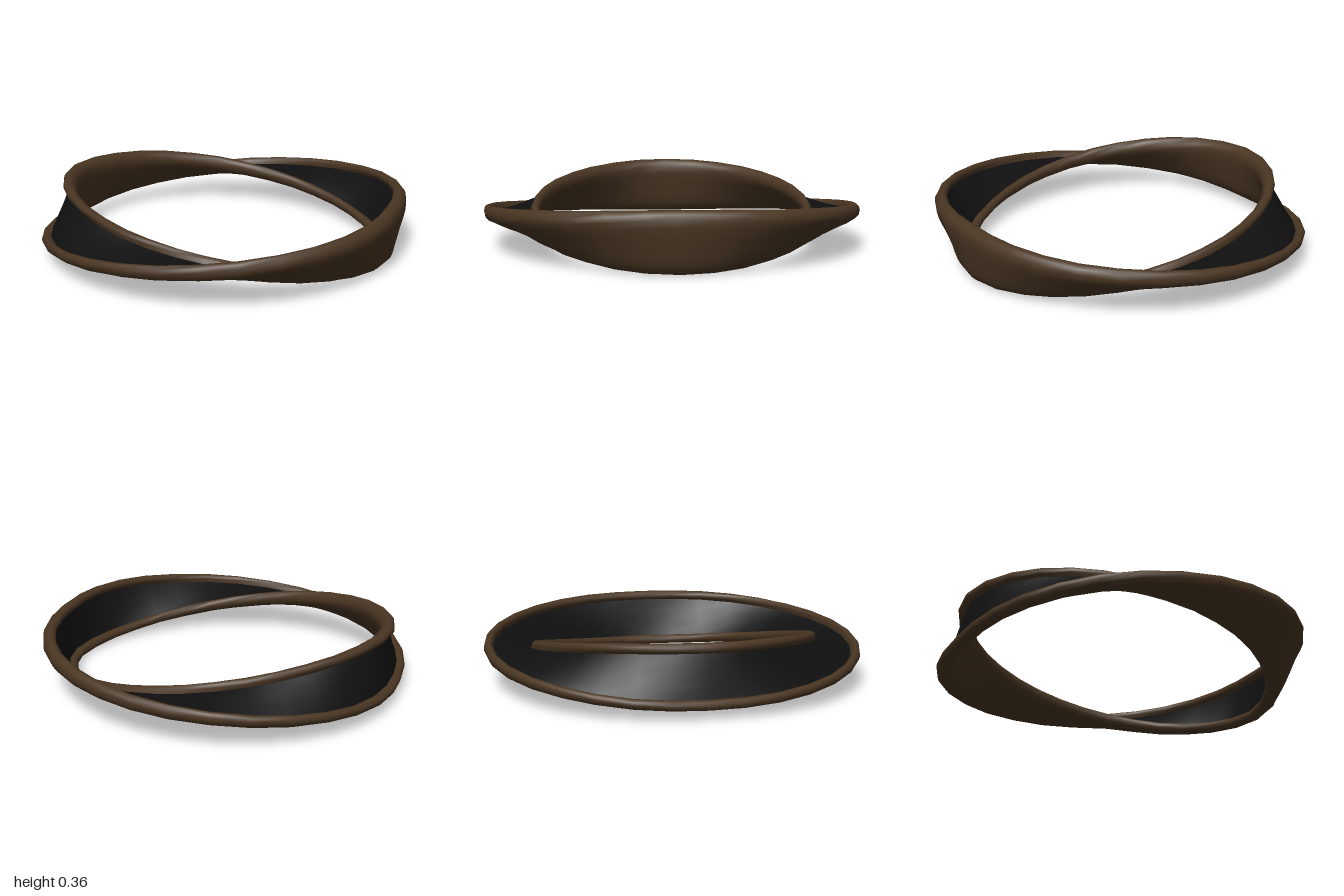
import * as THREE from 'three';

const SEGMENTS = 32;

// Right half of the channel section: u across the band, v toward its open side
const half = [
  [0.045, -0.045], [0.085, -0.043], [0.117, -0.036], [0.138, -0.02], [0.1475, 0.004],
  [0.146, 0.024], [0.136, 0.037], [0.123, 0.042], [0.11, 0.037], [0.103, 0.025], [0.1, 0.003],
];
const mirrored = half.map(([u, v]) => [-u, v]).reverse();
const shellSection = [...mirrored, [0, -0.045], ...half];
const floorSection = [[0.101, 0.005], [0.04, 0.005], [-0.04, 0.005], [-0.101, 0.005]];

// Place a section point on the ring; the band opens inward at +x,
// upward at the front and back, and outward at -x
function ringPoint(angle, u, v) {
  const c = Math.cos(angle), s = Math.sin(angle);
  const sinTilt = 0.985 * c;
  const cosTilt = Math.sqrt(1 - sinTilt * sinTilt);
  const width = u * (1 + 0.08 * c * c);
  const out = width * cosTilt - v * sinTilt;
  const y = 0.192 - 0.022 * c + width * sinTilt + v * cosTilt;
  return [(0.885 + out) * c, y, (0.852 + out) * s];
}

// Sweep a section round the closed ring with smooth normals
function sweep(section) {
  const n = section.length, positions = [], indices = [];
  for (let i = 0; i < SEGMENTS; i++) {
    const angle = (i / SEGMENTS) * Math.PI * 2;
    for (const [u, v] of section) positions.push(...ringPoint(angle, u, v));
    const next = (i + 1) % SEGMENTS;
    for (let j = 0; j < n - 1; j++) {
      const a = i * n + j, b = next * n + j;
      indices.push(a, a + 1, b, a + 1, b + 1, b);
    }
  }
  const geometry = new THREE.BufferGeometry();
  geometry.setAttribute('position', new THREE.Float32BufferAttribute(positions, 3));
  geometry.setIndex(indices);
  geometry.computeVertexNormals();
  return geometry;
}

export function createModel() {
  const brown = new THREE.MeshStandardMaterial({ color: 0x4a3623 });
  brown.name = 'dark brown';
  const black = new THREE.MeshStandardMaterial({ color: 0x101010 });
  black.name = 'black';

  const group = new THREE.Group();
  group.name = 'twistedBangle';

  // Rounded outer shell with its two raised rims
  const shell = new THREE.Mesh(sweep(shellSection), brown);
  shell.name = 'bandShell';
  // Recessed strip between the rims
  const inlay = new THREE.Mesh(sweep(floorSection), black);
  inlay.name = 'inlayStrip';
  group.add(shell, inlay);

  // Rest the lowest edge on the ground
  const bottom = new THREE.Box3().setFromObject(group).min.y;
  for (const mesh of group.children) mesh.geometry.translate(0, -bottom, 0);
  return group;
}
